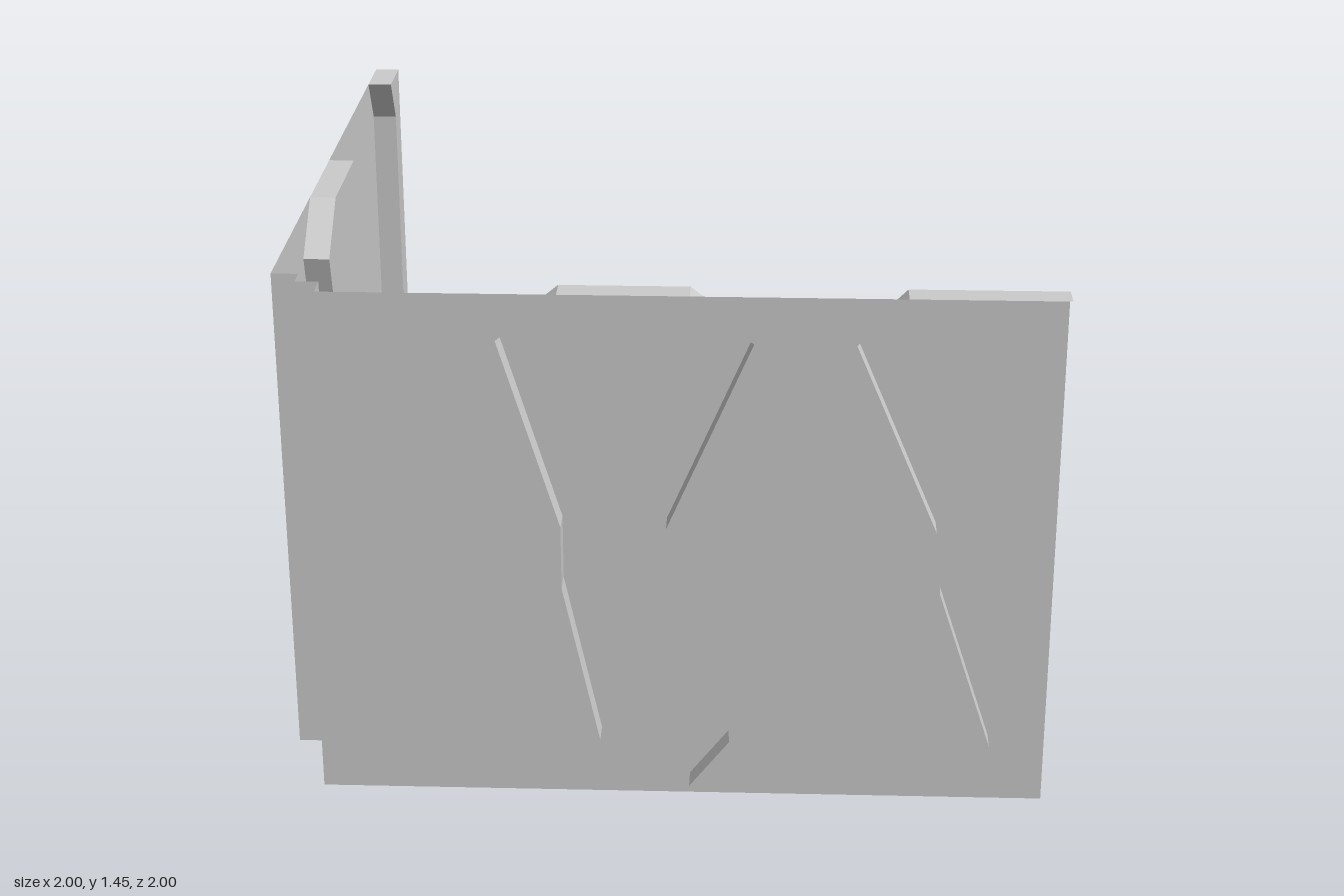
import * as THREE from 'three';

const HEIGHT = 1.45;   // wall height
const BASE = 0.93;     // distance of the wall sheet from the centre
const DEPTH = 0.07;    // how far the raised panels stand out

const material = new THREE.MeshStandardMaterial({
  color: 0xcccccc, flatShading: true, side: THREE.DoubleSide,
});

function addMesh(parent, geometry, name, z = 0) {
  const mesh = new THREE.Mesh(geometry, material);
  mesh.name = name;
  mesh.position.z = z;
  parent.add(mesh);
}

const flat = (points) =>
  new THREE.ShapeGeometry(new THREE.Shape(points.map(([u, y]) => new THREE.Vector2(u, y))));

// Strip of quads that joins the sheet to the raised face along an open path
function rimGeometry(path) {
  const positions = [];
  for (let i = 0; i < path.length - 1; i++) {
    const [a, b] = [path[i], path[i + 1]];
    positions.push(
      ...a, 0, ...b, 0, ...b, DEPTH,
      ...a, 0, ...b, DEPTH, ...a, DEPTH,
    );
  }
  const geometry = new THREE.BufferGeometry();
  geometry.setAttribute('position', new THREE.Float32BufferAttribute(positions, 3));
  geometry.computeVertexNormals();
  return geometry;
}

// A wall from lo to hi; each panel path starts and ends on the top edge
function createWall(name, lo, hi, panels) {
  const wall = new THREE.Group();
  wall.name = name;

  // Thin sheet with openings behind the raised panels
  addMesh(wall, flat([[lo, 0], [lo, HEIGHT], ...panels.flat(), [hi, HEIGHT], [hi, 0]]), 'wallSheet', BASE);

  // Raised panels, open at the top and back
  for (const path of panels) {
    addMesh(wall, flat(path), 'panelFace', BASE + DEPTH);
    addMesh(wall, rimGeometry(path), 'panelRim', BASE);
  }

  // Top ledges between the panels, leaving the corner post bare
  const stops = [lo, ...panels.flatMap((p) => [p[0][0], p[p.length - 1][0]]), hi];
  for (let i = 0; i < stops.length; i += 2) {
    const [a, b] = [stops[i], stops[i + 1]];
    if (Math.abs(a) === BASE || Math.abs(b) === BASE) continue;
    const ledge = new THREE.PlaneGeometry(b - a, DEPTH).rotateX(-Math.PI / 2);
    ledge.translate((a + b) / 2, HEIGHT, DEPTH / 2);
    addMesh(wall, ledge, 'topLedge', BASE);
  }
  return wall;
}

export function createModel() {
  const model = new THREE.Group();
  model.name = 'cornerWall';

  const frontWall = createWall('frontWall', -BASE, 1, [
    [[-0.87, HEIGHT], [-0.87, 0.105], [-0.6, 0.105], [-0.26, 0.06], [-0.175, 0.195],
      [-0.27, 0.64], [-0.27, 0.815], [-0.425, 1.325], [-0.27, HEIGHT]],
    [[0.06, HEIGHT], [0.22, 1.325], [0, 0.815], [0.155, 0.64], [0.165, 0.195], [0.06, 0.06],
      [0.6, 0.06], [0.85, 0.195], [0.705, 0.64], [0.69, 0.815], [0.475, 1.325], [0.6, HEIGHT]],
  ]);

  const sideWall = createWall('sideWall', -1, BASE, [
    [[-0.83, HEIGHT], [-0.905, 1.325], [-0.905, 0.64], [-0.83, 0.06], [-0.3, 0.06],
      [-0.14, 0.64], [-0.14, 0.815], [-0.23, 1.325], [-0.06, HEIGHT]],
    [[0.27, HEIGHT], [0.42, 1.325], [0.27, 0.815], [0.27, 0.64], [0.17, 0.195],
      [0.25, 0.06], [0.62, 0.105], [0.875, 0.105], [0.875, HEIGHT]],
  ]);
  sideWall.rotation.y = -Math.PI / 2;

  model.add(frontWall, sideWall);
  return model;
}
